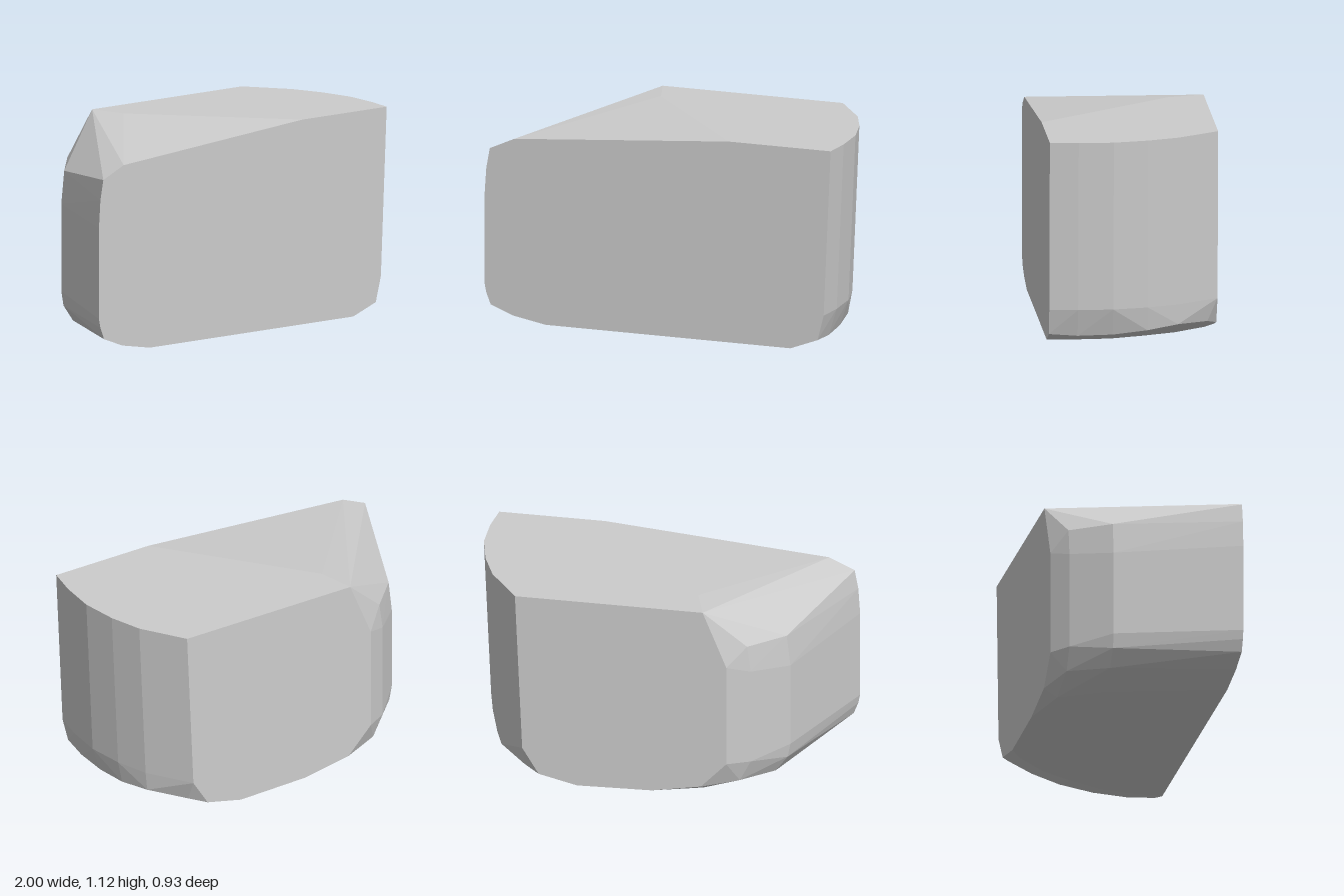
import * as THREE from 'three';
import { ConvexGeometry } from 'three/addons/geometries/ConvexGeometry.js';

const TOP = 1.125;

export function createModel() {
  const stone = new THREE.MeshStandardMaterial({ color: 0xcccccc });
  stone.name = 'stone grey';

  // Cross-sections at constant z, each a list of [x, y] corners
  const leftSections = [
    [0.465, [[-0.65, 0], [-0.84, 0.035], [-0.965, 0.085], [-0.99, 0.15], [-1, 0.2], [-1, 0.7],
      [-0.99, 0.85], [-0.97, 0.96], [-0.83, 1.025], [0.4, TOP]]],
    [-0.19, [[-0.45, 0], [-0.66, 0.05], [-0.725, 0.14], [-0.74, 0.22], [-0.74, 0.7], [-0.72, 0.88]]],
    [-0.27, [[-0.25, TOP]]],
    [-0.39, [[-0.3, 0.015], [-0.5, 0.08], [-0.56, 0.2], [-0.56, 0.75], [-0.54, 0.9]]],
    [-0.465, [[-0.03, 0.01], [-0.3, 0.06], [-0.44, 0.21], [-0.44, 0.8], [-0.31, TOP]]],
  ];

  // Curved right wall: z, x at the top, x and y of the lower rim, x of the base
  const rightSections = [
    [0.465, 0.98, 0.905, 0.06, 0.75],
    [0.31, 1, 0.915, 0.05, 0.76],
    [0.12, 1, 0.91, 0.053, 0.75],
    [-0.07, 0.955, 0.89, 0.07, 0.68],
    [-0.24, 0.885, 0.835, 0.09, 0.6],
    [-0.41, 0.76, 0.68, 0.075, 0.46],
    [-0.465, 0.72, 0.59, 0.05, 0.38],
  ];

  const points = [];
  for (const [z, corners] of leftSections) {
    for (const [x, y] of corners) points.push(new THREE.Vector3(x, y, z));
  }
  for (const [z, top, rim, rimY, base] of rightSections) {
    points.push(
      new THREE.Vector3(top, TOP, z),
      new THREE.Vector3(top - 0.04, 0.2, z),
      new THREE.Vector3(rim, rimY, z),
      new THREE.Vector3(base, 0, z),
    );
  }

  // Faceted block wrapped around the sections
  const block = new THREE.Mesh(new ConvexGeometry(points), stone);
  block.name = 'stoneBlock';

  const group = new THREE.Group();
  group.name = 'facetedBlock';
  group.add(block);
  return group;
}
